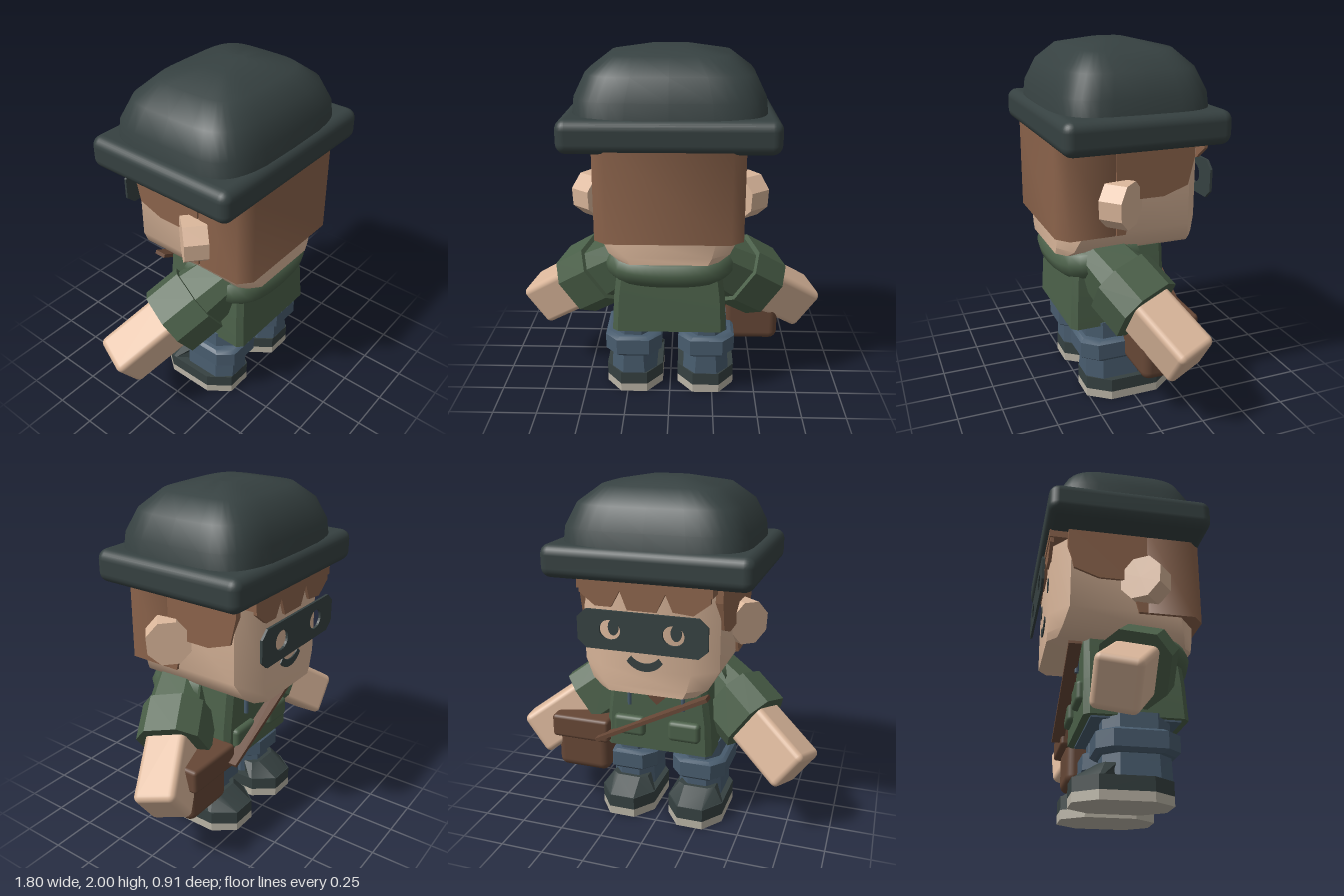
import * as THREE from 'three';
import { toCreasedNormals } from 'three/addons/utils/BufferGeometryUtils.js';
import { RoundedBoxGeometry } from 'three/addons/geometries/RoundedBoxGeometry.js';

const mat = (name, color) => {
  const m = new THREE.MeshStandardMaterial({ color });
  m.name = name;
  return m;
};

// Ring of eight points: a rectangle with cut corners around (ox, oz)
const oct = (y, hx, hz, cx, cz = cx, ox = 0, oz = 0) =>
  [[hx, hz - cz], [hx - cx, hz], [cx - hx, hz], [-hx, hz - cz],
    [-hx, cz - hz], [cx - hx, -hz], [hx - cx, -hz], [hx, cz - hz]].map(([x, z]) => [x + ox, y, z + oz]);

// Ring of points on a squarish oval
const squircle = (y, hx, hz, n = 40, p = 0.45) => Array.from({ length: n }, (_, i) => {
  const a = (i / n) * Math.PI * 2, c = Math.cos(a), s = Math.sin(a);
  return [hx * Math.sign(c) * Math.abs(c) ** p, y, hz * Math.sign(s) * Math.abs(s) ** p];
});

// Skin stacked rings, bottom to top, with both ends capped
function loft(rings, crease = 0.5) {
  const n = rings[0].length, pos = rings.flat(2), idx = [];
  for (let i = 0; i < rings.length - 1; i++) {
    for (let j = 0; j < n; j++) {
      const a = i * n + j, b = i * n + (j + 1) % n;
      idx.push(a, a + n, b + n, a, b + n, b);
    }
  }
  const top = (rings.length - 1) * n;
  for (let j = 1; j < n - 1; j++) idx.push(0, j, j + 1, top, top + j + 1, top + j);
  const g = new THREE.BufferGeometry();
  g.setAttribute('position', new THREE.Float32BufferAttribute(pos, 3));
  g.setIndex(idx);
  return toCreasedNormals(g, crease);
}

const polygon = (pts) => new THREE.Shape(pts.map(([x, y]) => new THREE.Vector2(x, y)));
const extrude = (shape, depth) =>
  new THREE.ExtrudeGeometry(shape, { depth, bevelEnabled: false, curveSegments: 12 });

export function createModel() {
  const skin = mat('skin', 0xdbb79b);
  const hair = mat('hair', 0x8b634b);
  const charcoal = mat('charcoal', 0x364141);
  const green = mat('green cloth', 0x4b6049);
  const denim = mat('denim', 0x485c6e);
  const leather = mat('leather', 0x664736);
  const soleGrey = mat('sole', 0xbab4a6);

  const model = new THREE.Group();
  model.name = 'figure';
  const add = (name, geo, material, x = 0, y = 0, z = 0, parent = model) => {
    const m = new THREE.Mesh(geo, material);
    m.name = name;
    m.position.set(x, y, z);
    parent.add(m);
    return m;
  };

  // Head, with cut vertical corners and a narrow jaw
  add('head', loft([
    oct(0.88, 0.27, 0.405, 0.06, 0.05), oct(0.92, 0.33, 0.405, 0.1, 0.07),
    oct(1.02, 0.385, 0.405, 0.13, 0.1), oct(1.52, 0.385, 0.405, 0.13, 0.1),
  ], 0.7), skin);

  // Hair: back block, fringe and side locks
  add('backHair', loft([
    oct(1.01, 0.4, 0.185, 0.07, 0.06, 0, 0.255), oct(1.52, 0.4, 0.185, 0.07, 0.06, 0, 0.255),
  ], 0.9), hair);
  const lock = polygon([[-0.12, 1.01], [-0.07, 1.01], [-0.02, 1.2], [0.15, 1.2],
    [0.29, 1.25], [0.325, 1.4], [0.325, 1.52], [-0.12, 1.52]]);
  for (const s of [-1, 1]) {
    const m = add('sideHair', extrude(lock, 0.06), hair, s > 0 ? 0.4 : -0.34);
    m.rotation.y = Math.PI / 2;
    m.position.x = s > 0 ? 0.34 : -0.4;
  }
  add('fringe', extrude(polygon([[-0.36, 1.52], [-0.36, 1.42], [-0.27, 1.35], [-0.16, 1.36], [-0.12, 1.45],
    [-0.07, 1.35], [0.09, 1.35], [0.13, 1.45], [0.18, 1.36], [0.27, 1.36], [0.36, 1.43], [0.36, 1.52]]), 0.02),
  hair, 0, 0, -0.422);
  add('fringeTop', new THREE.BoxGeometry(0.74, 0.07, 0.13), hair, 0, 1.485, -0.362);

  // Ears turned towards the face
  for (const s of [-1, 1]) {
    const ear = add('ear', toCreasedNormals(new THREE.CylinderGeometry(0.13, 0.13, 0.13, 8).rotateY(Math.PI / 8), 0.5),
      skin, s * 0.415, 1.19, 0.105);
    ear.quaternion.setFromUnitVectors(new THREE.Vector3(0, 1, 0), new THREE.Vector3(s * 0.75, 0, -0.66).normalize());
  }

  // Face: mask with eye holes, eyes and smile
  const maskShape = polygon([[-0.36, 1.18], [-0.31, 1.135], [0.31, 1.135], [0.36, 1.18],
    [0.36, 1.305], [0.31, 1.35], [-0.31, 1.35], [-0.36, 1.305]]);
  for (const s of [-1, 1]) {
    const hole = new THREE.Path();
    hole.absellipse(s * 0.175, 1.245, 0.06, 0.055, 0, Math.PI * 2, true);
    maskShape.holes.push(hole);
    const eye = new THREE.Shape();
    eye.absellipse(s * 0.175, 1.245, 0.03, 0.045, 0, Math.PI * 2);
    add('eye', extrude(eye, 0.006), charcoal, 0, 0, -0.41);
  }
  add('mask', extrude(maskShape, 0.014), charcoal, 0, 0, -0.459);
  const smile = new THREE.Shape();
  smile.absarc(0, 1.13, 0.125, Math.PI * 1.2, Math.PI * 1.8, false);
  smile.absarc(0, 1.15, 0.1, Math.PI * 1.78, Math.PI * 1.22, true);
  add('smile', extrude(smile, 0.008), charcoal, 0, 0.01, -0.412);

  // Hat
  add('hatBrim', new RoundedBoxGeometry(1.155, 0.18, 0.91, 3, 0.055), charcoal, 0, 1.58, 0);
  add('hatDome', loft([
    squircle(1.62, 0.525, 0.43), squircle(1.75, 0.51, 0.415), squircle(1.87, 0.45, 0.36),
    squircle(1.96, 0.33, 0.265), squircle(2, 0.11, 0.085),
  ], 0.9), charcoal);

  // Torso with collar roll, open neck, laces and pockets
  add('jacket', loft([
    oct(0.45, 0.32, 0.28, 0.03, 0.03, 0, 0.07), oct(0.65, 0.31, 0.275, 0.03, 0.03, 0, 0.065),
    oct(0.885, 0.28, 0.265, 0.03, 0.03, 0, 0.055),
  ]), green);
  const collar = new THREE.CatmullRomCurve3([[-0.27, 0.86, -0.02], [-0.3, 0.85, 0.13], [-0.25, 0.82, 0.28], [0, 0.805, 0.325],
    [0.25, 0.82, 0.28], [0.3, 0.85, 0.13], [0.27, 0.86, -0.02]].map((p) => new THREE.Vector3(...p)));
  add('collar', new THREE.TubeGeometry(collar, 28, 0.085, 10), green);
  add('innerShirt', extrude(polygon([[0, 0.74], [0.15, 0.884], [-0.15, 0.884]]), 0.008), leather, 0, 0, -0.219);
  for (const s of [-1, 1]) {
    add('lace', new THREE.CylinderGeometry(0.012, 0.012, 0.11, 8), denim, s * 0.16, 0.785, -0.23);
    add('pocket', new RoundedBoxGeometry(0.19, 0.12, 0.06, 2, 0.025), green, s * 0.165, 0.595, -0.215);
  }
  add('hips', new THREE.BoxGeometry(0.58, 0.08, 0.48), denim, 0, 0.48, 0.07);

  // Shoulder strap and bag
  const strap = add('strap', new THREE.BoxGeometry(0.75, 0.022, 0.07), leather, 0.02, 0.67, -0.262);
  strap.rotation.z = -Math.atan2(0.34, 0.66);
  add('bag', new RoundedBoxGeometry(0.33, 0.3, 0.27, 3, 0.05), leather, 0.48, 0.395, -0.075);
  add('bagFlap', new RoundedBoxGeometry(0.36, 0.14, 0.3, 2, 0.02), leather, 0.475, 0.53, -0.1);

  // Limbs are built on the +x side and mirrored
  const axis = new THREE.Vector3(0.75, -0.54, -0.39).normalize();
  const up = new THREE.Vector3(0.54, 0.75, 0).normalize();
  const basis = new THREE.Matrix4().makeBasis(up, axis, up.clone().cross(axis)).setPosition(0.53, 0.615, 0);
  for (const s of [1, -1]) {
    const side = new THREE.Group();
    side.name = s > 0 ? 'leftLimbs' : 'rightLimbs';
    side.scale.x = s;
    model.add(side);

    // Arm and sleeve, local y runs down the arm
    const arm = new THREE.Group();
    arm.name = 'arm';
    arm.applyMatrix4(basis);
    side.add(arm);
    add('forearm', new RoundedBoxGeometry(0.265, 0.5, 0.24, 3, 0.035), skin, 0, 0.12, 0, arm);
    add('sleeveCuff', loft([oct(-0.22, 0.19, 0.185, 0.09), oct(0, 0.19, 0.185, 0.09)]), green, 0, 0, 0, arm);
    add('upperSleeve', loft([oct(-0.42, 0.14, 0.14, 0.06), oct(-0.2, 0.165, 0.16, 0.07)]), green, 0, 0, 0, arm);

    // Trouser leg with a rolled band
    const leg = (y, hx, hz) => oct(y, hx, hz, 0.07, 0.08, 0.212, 0.075);
    add('trouserLeg', loft([leg(0.1, 0.135, 0.185), leg(0.27, 0.125, 0.18), leg(0.47, 0.115, 0.18)]), denim, 0, 0, 0, side);
    add('trouserBand', loft([leg(0.25, 0.145, 0.2), leg(0.27, 0.163, 0.222), leg(0.36, 0.163, 0.222), leg(0.375, 0.145, 0.2)]),
      denim, 0, 0, 0, side);

    // Shoe
    const shoe = (y, hx = 0.167, hz = 0.26, oz = 0) => oct(y, hx, hz, 0.09, 0.12, 0.212, oz);
    add('sole', loft([shoe(0), shoe(0.05)]), soleGrey, 0, 0, 0, side);
    add('shoe', loft([shoe(0.05), shoe(0.125)]), charcoal, 0, 0, 0, side);
    add('shoeInstep', loft([shoe(0.125, 0.163, 0.13, -0.125), oct(0.2, 0.11, 0.06, 0.04, 0.03, 0.212, -0.07)]),
      charcoal, 0, 0, 0, side);
  }
  return model;
}
